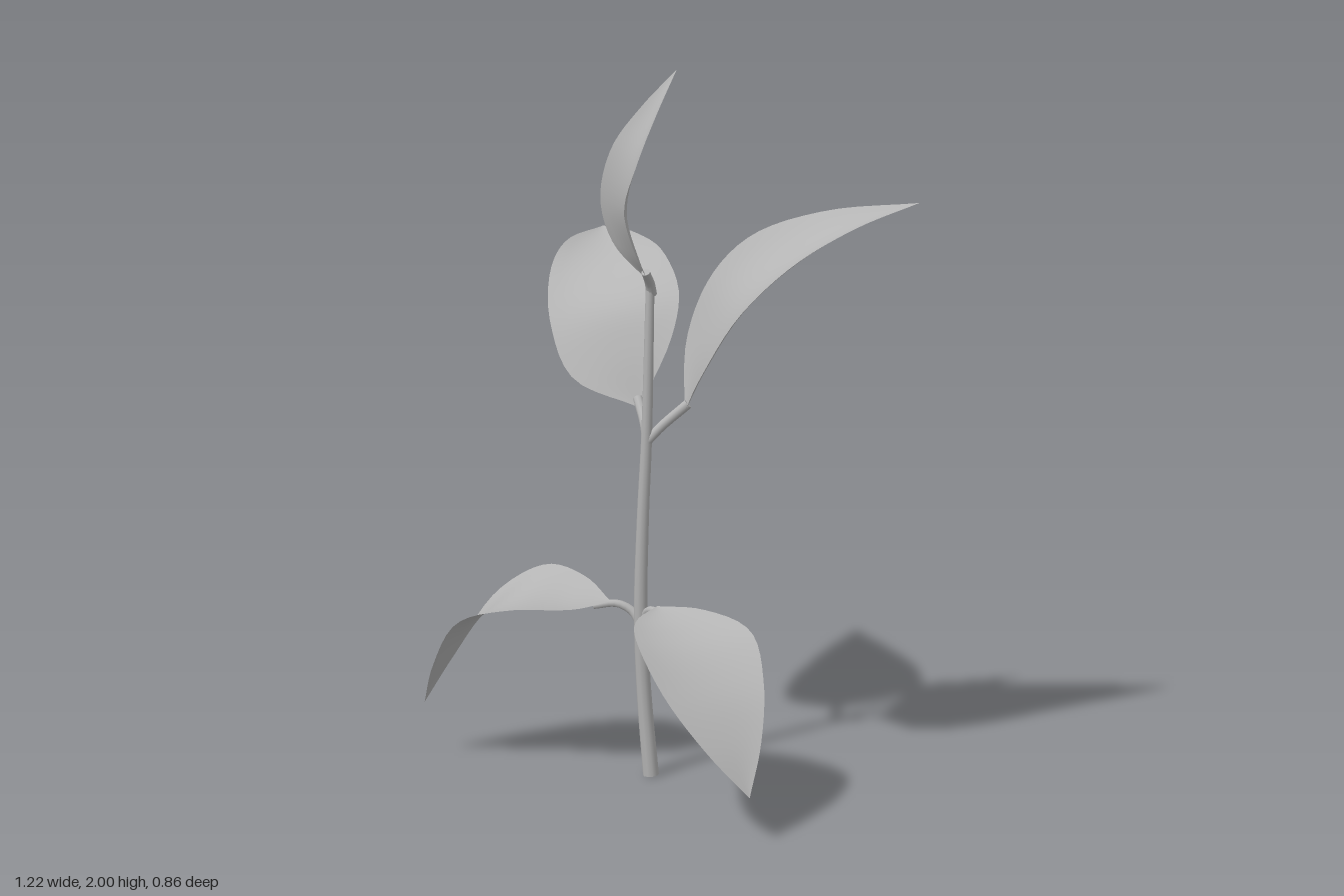
import * as THREE from 'three';

const grey = new THREE.MeshStandardMaterial({ color: 0xb4b4b4 });
const leafGrey = grey.clone();
grey.name = 'stemGrey';
leafGrey.name = 'leafGrey';
leafGrey.side = THREE.DoubleSide;

const curve = (pts) => new THREE.CatmullRomCurve3(pts.map((p) => new THREE.Vector3(...p)));

// Tapering round stalk along a curve, closed at both ends
function stalk(name, pts, r0, r1, rows = 10, sides = 10) {
  const path = curve(pts);
  const geo = new THREE.TubeGeometry(path, rows, 1, sides, false);
  const pos = geo.attributes.position;
  const v = new THREE.Vector3();
  for (let i = 0; i < pos.count; i++) {
    const t = Math.floor(i / (sides + 1)) / rows;
    const c = path.getPointAt(t);
    v.fromBufferAttribute(pos, i).sub(c).multiplyScalar(r0 + (r1 - r0) * t).add(c);
    pos.setXYZ(i, v.x, v.y, v.z);
  }
  const group = new THREE.Group();
  group.name = name;
  group.add(new THREE.Mesh(geo, grey));
  [[0, r0, -1], [1, r1, 1]].forEach(([t, r, s]) => {
    const cap = new THREE.Mesh(new THREE.CircleGeometry(r, sides), grey);
    cap.position.copy(path.getPointAt(t));
    cap.lookAt(cap.position.clone().addScaledVector(path.getTangentAt(t), s));
    group.add(cap);
  });
  group.children.forEach((m) => { m.name = name; });
  return group;
}

// Cupped blade lofted across its two edges and its midrib
function leaf(name, base, tip, edgeA, midrib, edgeB) {
  const [a, m, b] = [edgeA, midrib, edgeB].map((pts) => curve([base, ...pts, tip]));
  const rows = 24, cols = 10, pos = [], index = [];
  for (let i = 0; i <= rows; i++) {
    const [pa, pm, pb] = [a, m, b].map((c) => c.getPoint(i / rows));
    for (let j = 0; j <= cols; j++) {
      const s = (j / cols) * 2 - 1;
      const p = pm.clone().multiplyScalar(1 - s * s)
        .addScaledVector(pa, (s * s - s) / 2)
        .addScaledVector(pb, (s * s + s) / 2);
      pos.push(p.x, p.y, p.z);
      if (i < rows && j < cols) {
        const k = i * (cols + 1) + j, n = k + cols + 1;
        index.push(k, k + 1, n, k + 1, n + 1, n);
      }
    }
  }
  const geo = new THREE.BufferGeometry();
  geo.setAttribute('position', new THREE.Float32BufferAttribute(pos, 3));
  geo.setIndex(index);
  geo.computeVertexNormals();
  const mesh = new THREE.Mesh(geo, leafGrey);
  mesh.name = name;
  return mesh;
}

export function createModel() {
  const plant = new THREE.Group();
  plant.name = 'plant';

  // Main stem and leaf stalks
  plant.add(
    stalk('stem', [[0.02, 0.005, 0.066], [0.008, 0.25, 0.082], [0.01, 0.48, 0.098], [0.025, 0.75, 0.106], [0.04, 1, 0.106], [0.055, 1.42, 0.108]], 0.023, 0.012, 28),
    stalk('topLeafStalk', [[0.053, 1.39, 0.1], [0.06, 1.42, 0.115], [0.075, 1.455, 0.15]], 0.015, 0.012),
    stalk('lowerLeftStalk', [[0.012, 0.45, 0.095], [0.035, 0.49, 0.1], [0.08, 0.505, 0.12], [0.15, 0.497, 0.15]], 0.014, 0.009),
    stalk('lowerRightStalk', [[0.008, 0.45, 0.095], [-0.02, 0.485, 0.1], [-0.06, 0.505, 0.12], [-0.125, 0.492, 0.145]], 0.014, 0.009),
    stalk('upperLeftStalk', [[0.042, 0.98, 0.105], [0.07, 1.02, 0.08], [0.13, 1.085, 0.035]], 0.013, 0.014),
    stalk('upperRightStalk', [[0.038, 0.98, 0.105], [0.01, 1.02, 0.08], [-0.05, 1.085, 0.04]], 0.013, 0.014),
  );

  // Leaves: base, tip, then one edge, the midrib and the other edge
  plant.add(
    leaf('topLeaf', [0.065, 1.43, 0.13], [0.16, 2, 0.12],
      [[-0.02, 1.53, 0.175], [-0.045, 1.65, 0.2], [0.0, 1.79, 0.205], [0.08, 1.9, 0.175]],
      [[0.065, 1.5, 0.18], [0.065, 1.62, 0.228], [0.085, 1.76, 0.222], [0.125, 1.89, 0.175]],
      [[0.11, 1.505, 0.23], [0.13, 1.63, 0.3], [0.145, 1.75, 0.265], [0.153, 1.88, 0.195]]),
    leaf('upperLeftLeaf', [0.125, 1.06, 0.045], [0.61, 1.64, -0.375],
      [[0.055, 1.26, -0.05], [0.1, 1.43, -0.1], [0.2, 1.545, -0.155], [0.38, 1.615, -0.25]],
      [[0.205, 1.235, 0.035], [0.275, 1.378, -0.012], [0.355, 1.488, -0.105], [0.47, 1.578, -0.22]],
      [[0.29, 1.19, 0.17], [0.39, 1.35, 0.14], [0.46, 1.48, 0], [0.535, 1.575, -0.18]]),
    leaf('upperRightLeaf', [-0.04, 1.06, 0.045], [-0.605, 1.525, -0.43],
      [[-0.22, 1.135, 0.125], [-0.34, 1.28, 0.09], [-0.44, 1.415, -0.015], [-0.525, 1.495, -0.175]],
      [[-0.123, 1.212, 0.03], [-0.202, 1.328, -0.002], [-0.303, 1.422, -0.105], [-0.45, 1.488, -0.265]],
      [[0.02, 1.25, -0.02], [0.0, 1.375, -0.08], [-0.13, 1.48, -0.165], [-0.33, 1.522, -0.275]]),
    leaf('lowerLeftLeaf', [0.09, 0.52, 0.12], [0.605, 0.13, 0.35],
      [[0.24, 0.53, 0.1], [0.42, 0.5, 0.115], [0.52, 0.39, 0.185], [0.575, 0.25, 0.265]],
      [[0.19, 0.505, 0.19], [0.32, 0.475, 0.25], [0.44, 0.38, 0.29], [0.53, 0.262, 0.32]],
      [[0.14, 0.512, 0.265], [0.255, 0.488, 0.39], [0.385, 0.37, 0.428], [0.51, 0.24, 0.405]]),
    leaf('lowerRightLeaf', [-0.075, 0.51, 0.13], [-0.61, 0.165, 0.355],
      [[-0.11, 0.502, 0.25], [-0.24, 0.503, 0.385], [-0.39, 0.452, 0.43], [-0.52, 0.3, 0.405]],
      [[-0.18, 0.515, 0.19], [-0.32, 0.515, 0.25], [-0.445, 0.43, 0.29], [-0.54, 0.29, 0.325]],
      [[-0.2, 0.56, 0.1], [-0.35, 0.575, 0.105], [-0.48, 0.49, 0.175], [-0.56, 0.33, 0.26]]),
  );
  return plant;
}
